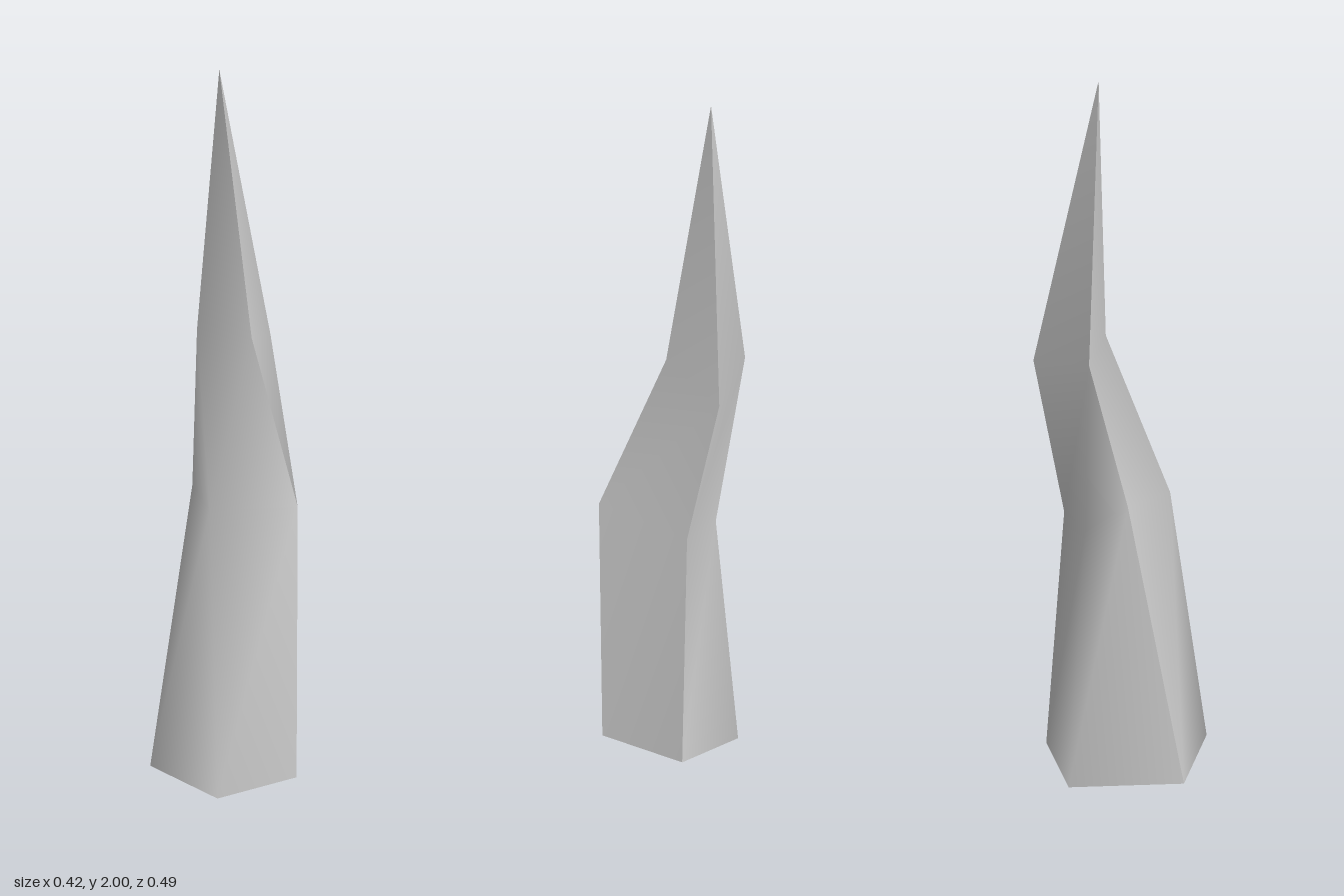
import * as THREE from 'three';
import { mergeVertices } from 'three/addons/utils/BufferGeometryUtils.js';

// Cross-sections of the bent shard, corners in order left-back, front, right, right-back, back
const base = [[-0.21, 0.02, 0.03], [-0.01, 0.03, 0.245], [0.21, 0.02, 0.09], [0.195, 0.035, -0.18], [-0.02, 0, -0.235]];
const waist = [[-0.09, 0.84, -0.08], [-0.035, 0.83, 0.095], [0.205, 0.84, 0.09], [0.13, 0.77, -0.15], [0, 0.76, -0.16]];
// The left side pinches to one corner at the shoulder
const pinch = [-0.08, 1.26, -0.195];
const shoulder = [pinch, pinch, [0.075, 1.28, -0.045], [0.125, 1.23, -0.245], pinch];
const tip = [-0.015, 2, -0.12];
const rings = [base, waist, shoulder, Array(5).fill(tip)];

// Builds a smooth surface from triangles, dropping collapsed ones
function surface(triangles) {
  const solid = triangles.filter(([a, b, c]) => a !== b && b !== c && c !== a);
  const geometry = new THREE.BufferGeometry();
  geometry.setAttribute('position', new THREE.Float32BufferAttribute(solid.flat(2), 3));
  const merged = mergeVertices(geometry);
  merged.computeVertexNormals();
  return merged;
}

// Joins the rings over a run of neighbouring corners
function panel(corners) {
  const triangles = [];
  for (let r = 0; r < rings.length - 1; r++) {
    for (let i = 0; i < corners.length - 1; i++) {
      const [a, b] = [corners[i], corners[i + 1]];
      const [low, high] = [rings[r], rings[r + 1]];
      triangles.push([low[a], low[b], high[b]], [low[a], high[b], high[a]]);
    }
  }
  return surface(triangles);
}

export function createModel() {
  const group = new THREE.Group();
  group.name = 'shard';
  const stone = new THREE.MeshStandardMaterial({ color: 0xcccccc });
  stone.name = 'paleGrey';

  const add = (name, geometry) => {
    const mesh = new THREE.Mesh(geometry, stone);
    mesh.name = name;
    group.add(mesh);
  };

  // Smooth panels that meet at hard edges
  add('frontPanel', panel([0, 1, 2]));
  add('sidePanel', panel([2, 3]));
  add('backPanel', panel([3, 4, 0]));

  // Closed underside
  add('underside', surface([1, 2, 3].map((i) => [base[0], base[i + 1], base[i]])));
  return group;
}
